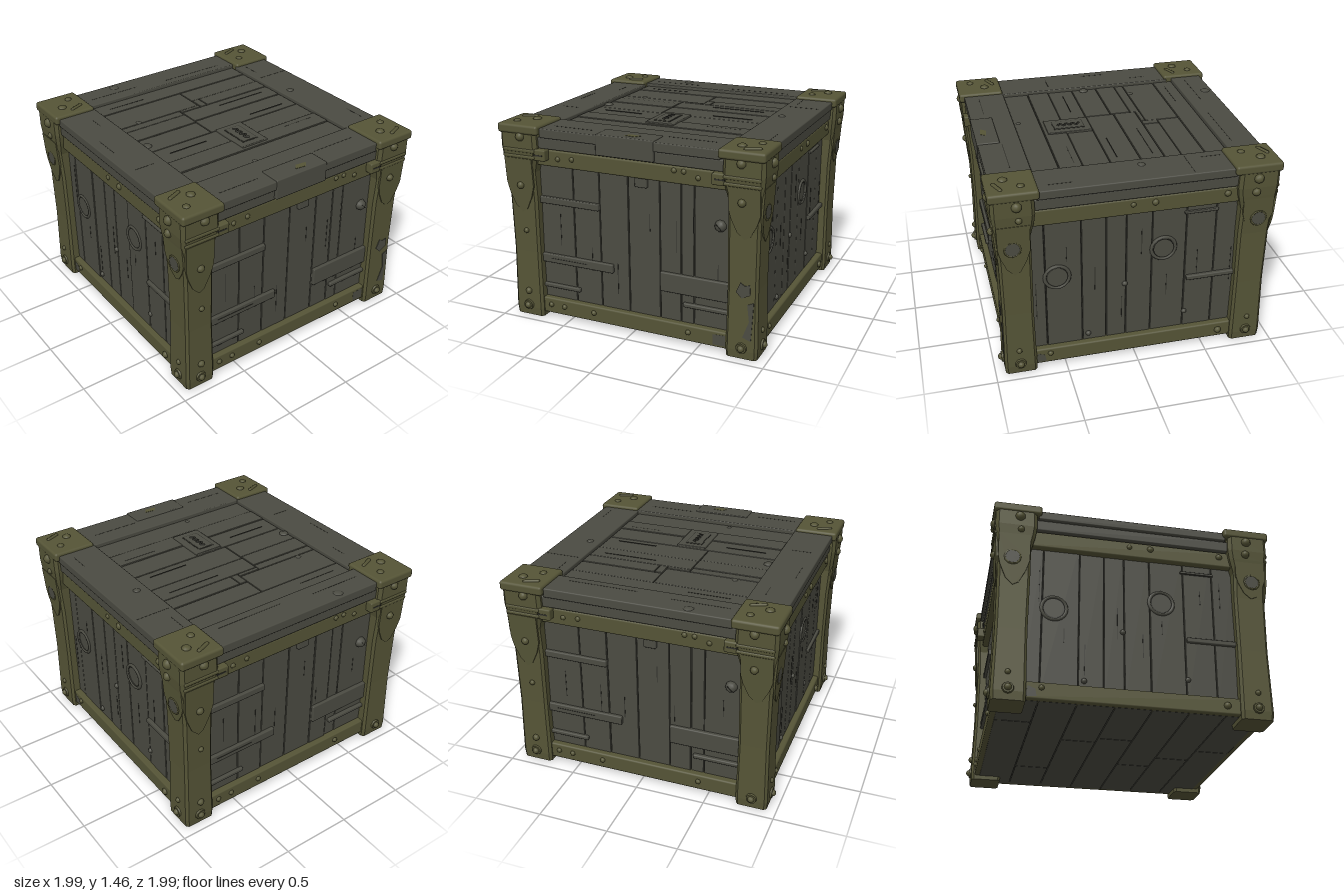
import * as THREE from 'three';
import { RoundedBoxGeometry } from 'three/addons/geometries/RoundedBoxGeometry.js';

const mat = (name, color) => Object.assign(new THREE.MeshStandardMaterial({ color }), { name });

export function createModel() {
  const wood = mat('weathered wood', 0x4b4b42);
  const metal = mat('olive metal', 0x555436);
  const gap = mat('dark gap', 0x30302a);
  let seed = 7;
  const rnd = () => (seed = (seed * 16807) % 2147483647) / 2147483647;

  const add = (parent, name, geo, material, x = 0, y = 0, z = 0) => {
    const m = new THREE.Mesh(geo, material);
    m.name = name;
    m.position.set(x, y, z);
    parent.add(m);
    return m;
  };
  // box given by its limits, with softly rounded edges
  const block = (parent, name, material, x0, x1, y0, y1, z0, z1, r = 0.008) =>
    add(parent, name, r ? new RoundedBoxGeometry(x1 - x0, y1 - y0, z1 - z0, 1, r)
      : new THREE.BoxGeometry(x1 - x0, y1 - y0, z1 - z0), material,
    (x0 + x1) / 2, (y0 + y1) / 2, (z0 + z1) / 2);
  // domed bolt facing +z
  const bolt = (parent, x, y, z, r = 0.02, material = metal) => {
    const g = new THREE.SphereGeometry(r, 9, 4, 0, Math.PI * 2, 0, Math.PI / 2);
    g.rotateX(Math.PI / 2);
    return add(parent, 'bolt', g, material, x, y, z);
  };
  const bigBolt = (parent, x, y, z) => {
    const g = new THREE.CylinderGeometry(0.036, 0.042, 0.02, 10).rotateX(Math.PI / 2);
    add(parent, 'boltWasher', g, metal, x, y, z);
    bolt(parent, x, y, z + 0.008, 0.025);
  };
  // thin dark grain crack on a face at depth z
  const crack = (parent, x, y, z, len, vertical) =>
    add(parent, 'grainCrack', new THREE.BoxGeometry(vertical ? 0.005 : len, vertical ? len : 0.005, 0.004), gap, x, y, z);
  // thin irregular patch of bared or leftover paint, facing +z
  const patch = (parent, material, z, points) =>
    add(parent, 'wornPatch', new THREE.ExtrudeGeometry(new THREE.Shape(points.map(p => new THREE.Vector2(...p))),
      { depth: 0.005, bevelEnabled: false }), material, 0, 0, z);

  const crate = new THREE.Group();
  crate.name = 'crate';

  // dark cores seen only between the planks
  block(crate, 'bodyCore', gap, -0.845, 0.845, 0.045, 1.28, -0.845, 0.845, 0);
  block(crate, 'lidCore', gap, -0.9, 0.9, 1.275, 1.385, -0.9, 0.9, 0);

  // floor planks
  for (let i = 0; i < 7; i++) {
    const z = -0.87 + i * 0.2486, split = -0.5 + rnd();
    block(crate, 'floorPlank', wood, -0.87, split - 0.002, 0.03, 0.06, z, z + 0.245, 0.004);
    block(crate, 'floorPlank', wood, split + 0.002, 0.87, 0.03, 0.06, z, z + 0.245, 0.004);
  }

  // corner posts: chamfered square lofted through [height, inner, outer]
  const profile = [[0, 0.71, 0.93], [0.06, 0.708, 0.935], [0.5, 0.715, 0.928], [0.9, 0.712, 0.933],
    [1.1, 0.715, 0.945], [1.2, 0.69, 0.958], [1.27, 0.68, 0.965], [1.4, 0.685, 0.965]];
  const section = new THREE.Shape([[-0.5, -0.42], [-0.42, -0.5], [0.42, -0.5], [0.5, -0.42],
    [0.5, 0.42], [0.42, 0.5], [-0.42, 0.5], [-0.5, 0.42]].map(p => new THREE.Vector2(...p)));
  const makePost = (sx, sz) => {
    const n = profile.length - 1;
    const g = new THREE.ExtrudeGeometry(section, { depth: n, steps: n, bevelEnabled: false }).rotateX(-Math.PI / 2);
    const p = g.attributes.position;
    for (let i = 0; i < p.count; i++) {
      const [y, a, b] = profile[Math.round(p.getY(i))];
      p.setXYZ(i, sx * (a + b) / 2 + p.getX(i) * (b - a), y, sz * (a + b) / 2 + p.getZ(i) * (b - a));
    }
    g.computeVertexNormals();
    add(crate, 'cornerPost', g, metal);
    // lid corner cap with its rivets and dent
    const cap = new THREE.Group();
    cap.name = 'lidCornerCap';
    add(cap, 'cap', new RoundedBoxGeometry(0.315, 0.066, 0.33, 2, 0.018), metal, 0, 1.408, 0);
    for (const [x, z, r] of [[-0.04, 0.04, 0.032], [0.06, -0.06, 0.026]]) {
      const b = bolt(cap, x, 1.44, z, r);
      b.rotation.x = -Math.PI / 2;
      b.scale.z = 0.6;
    }
    const bar = add(cap, 'capRidge', new THREE.CapsuleGeometry(0.014, 0.09, 3, 8), metal, 0.05, 1.439, 0.09);
    bar.rotation.set(0, 0.4, Math.PI / 2);
    cap.position.set(sx * 0.813, 0, sz * 0.815);
    cap.rotation.y = sx * sz > 0 ? 0 : Math.PI;
    crate.add(cap);
  };
  for (const sx of [-1, 1]) for (const sz of [-1, 1]) makePost(sx, sz);

  // pointed reinforcement on the upper post
  const pointPlate = (side, x, bottom) => {
    const h = 1.2 - bottom;
    const s = new THREE.Shape([[0.108, h], [0.108, 0.5 * h], [0.085, 0.3 * h], [0.04, 0.06 * h], [0, 0],
      [-0.05, 0.13 * h], [-0.09, 0.38 * h], [-0.105, 0.55 * h], [-0.108, h]].map(p => new THREE.Vector2(...p)));
    const m = add(side, 'pointedPlate', new THREE.ExtrudeGeometry(s, { depth: 0.014, bevelEnabled: false }),
      metal, x, bottom, 0.924);
    m.rotation.x = 0.062;
  };

  // a wall facing +z: recessed planks, rails, bolts
  const makeWall = (name, seams, rivets) => {
    const wall = new THREE.Group();
    wall.name = name;
    for (let i = 0; i < seams.length - 1; i++) {
      const z = 0.86 + rnd() * 0.007;
      block(wall, 'wallPlank', wood, seams[i] + 0.0025, seams[i + 1] - 0.0025, 0.1, 1.2, 0.82, z, 0.004);
      crack(wall, (seams[i] + seams[i + 1]) / 2 + (rnd() - 0.5) * 0.1, 0.35 + rnd() * 0.6, z, 0.1 + rnd() * 0.2, true);
    }
    block(wall, 'lowerRail', metal, -0.72, 0.72, 0.032, 0.15, 0.82, 0.908, 0.012);
    block(wall, 'upperRail', metal, -0.72, 0.72, 1.15, 1.268, 0.82, 0.912, 0.012);
    for (const [x, y, r] of rivets) bolt(wall, x, y, Math.abs(x) > 0.7 ? (y > 1.15 ? 0.96 : 0.932) : 0.906, r);
    for (const s of [-1, 1]) bigBolt(wall, s * 0.825, 0.08, 0.937);
    return wall;
  };

  const makeFront = (name) => {
    const f = makeWall(name, [-0.73, -0.455, -0.25, -0.03, 0.205, 0.36, 0.455, 0.73],
      [[-0.65, 0.1], [-0.54, 0.1], [-0.3, 0.1], [0.43, 0.1], [-0.54, 1.21], [-0.43, 1.22], [0.33, 1.24],
        [0.4, 1.24], [0.5, 1.21], [-0.82, 0.19, 0.026], [-0.81, 0.66], [-0.8, 1.355, 0.034], [0.81, 1.355, 0.032]]);
    // cross battens: x0, x1, y0, y1
    for (const [a, b, c, d] of [[-0.72, -0.25, 0.865, 0.915], [-0.72, -0.15, 0.42, 0.485], [-0.72, -0.42, 0.225, 0.255],
      [0.21, 0.72, 0.36, 0.5], [0.38, 0.72, 0.27, 0.3], [0.03, 0.12, 1.08, 1.15]])
      block(f, 'crossBatten', wood, a, b, c, d, 0.84, 0.888);
    crack(f, -0.5, 0.455, 0.888, 0.3, false);
    bolt(f, 0.64, 0.89, 0.86, 0.042, wood);
    const slot = crack(f, 0.64, 0.89, 0.901, 0.05, false);
    slot.rotation.z = -0.8;
    pointPlate(f, -0.83, 0.8);
    pointPlate(f, 0.83, 0.85);
    bolt(f, -0.825, 1.0, 0.947, 0.028);
    bolt(f, 0.815, 1.1, 0.953, 0.028);
    // corner clasps
    for (const s of [-1, 1]) {
      const strap = (x0, x1, y0, y1, z1) =>
        block(f, 'claspStrap', metal, Math.min(s * x0, s * x1), Math.max(s * x0, s * x1), y0, y1, 0.9, z1, 0.01);
      strap(0.69, 0.945, 1.245, 1.272, 0.972);
      strap(0.69, 0.945, 1.2, 1.225, 0.968);
      strap(0.61, 0.7, 1.195, 1.275, 0.965);
      block(f, 'claspSlot', gap, s * 0.665 - 0.035, s * 0.665 + 0.035, 1.23, 1.24, 0.95, 0.967, 0);
    }
    return f;
  };

  const makeSide = (name) => {
    const s = makeWall(name, [-0.74, -0.62, -0.37, -0.2, -0.06, 0.12, 0.36, 0.57, 0.74],
      [[-0.61, 0.11], [0.62, 0.09, 0.026], [-0.03, 1.225], [0.12, 1.225, 0.025], [0.62, 1.225, 0.025],
        [-0.83, 0.19], [0.83, 0.19], [-0.8, 1.34, 0.036], [0.81, 1.34, 0.036], [-0.79, 1.24, 0.024], [0.8, 1.24, 0.03]]);
    // knot rings
    for (const [x, y] of [[-0.54, 0.71], [0.2, 0.83]]) {
      add(s, 'knotRing', new THREE.TorusGeometry(0.085, 0.013, 6, 20), wood, x, y, 0.864);
      add(s, 'knotGroove', new THREE.RingGeometry(0.068, 0.073, 20), gap, x, y, 0.869);
    }
    block(s, 'crossBatten', wood, 0.37, 0.73, 0.545, 0.58, 0.84, 0.888);
    block(s, 'chippedBatten', wood, 0.34, 0.58, 1.08, 1.1, 0.84, 0.88, 0.006);
    for (const [x, y] of [[-0.07, 0.58], [0.37, 0.27], [-0.33, 0.2]]) bolt(s, x, y, 0.862, 0.02, wood);
    patch(s, wood, 0.904, [[-0.71, 0.045], [-0.64, 0.05], [-0.65, 0.1], [-0.7, 0.12]]);
    // post plates with wooden-plugged holes
    for (const e of [-1, 1]) {
      pointPlate(s, e * 0.83, e < 0 ? 0.82 : 0.9);
      add(s, 'postHoleRim', new THREE.TorusGeometry(0.053, 0.007, 5, 12), metal, e * 0.838, 1.025, 0.949);
      add(s, 'postHole', new THREE.CylinderGeometry(0.052, 0.052, 0.009, 10).rotateX(Math.PI / 2), wood, e * 0.838, 1.025, 0.949);
    }
    return s;
  };
  const front = makeFront('frontWall');
  // worn paint on the front left post and rail
  patch(front, wood, 0.931, [[0.78, 0.48], [0.82, 0.44], [0.88, 0.47], [0.875, 0.54], [0.84, 0.53], [0.81, 0.55]]);
  patch(front, wood, 0.931, [[0.83, 0.16], [0.89, 0.14], [0.905, 0.42], [0.86, 0.4], [0.875, 0.28]]);
  patch(front, wood, 0.904, [[0.61, 0.05], [0.7, 0.05], [0.7, 0.13], [0.61, 0.125]]);
  [front, makeSide('leftWall'), makeFront('backWall'), makeSide('rightWall')].forEach((w, q) => {
    w.rotation.y = q * Math.PI / 2;
    crate.add(w);
  });

  // lid frame: two layers of boards on each edge
  const lid = new THREE.Group();
  lid.name = 'lid';
  for (const s of [-1, 1]) {
    const span = (a, b) => [Math.min(s * a, s * b), Math.max(s * a, s * b)];
    block(lid, 'lidLowerBoard', wood, -0.7, 0.7, 1.275, 1.353, ...span(0.7, 0.925));
    block(lid, 'lidEdgeBoard', wood, -0.66, 0.66, 1.356, 1.422, ...span(s > 0 ? 0.648 : 0.708, 0.945));
    block(lid, 'lidLowerBoard', wood, ...span(0.7, 0.925), 1.275, 1.353, -0.7, 0.7);
    block(lid, 'lidSideBoard', wood, ...span(0.648, 0.94), 1.356, 1.418, -0.67, 0.67);
  }
  block(lid, 'frontRepairBoard', wood, -0.225, 0.2, 1.285, 1.43, 0.79, 0.95);

  // lid planks: x0, x1, z0, z1
  for (const [a, b, c, d] of [[-0.645, 0.645, -0.705, -0.55], [-0.645, 0.03, -0.55, -0.3], [0.03, 0.645, -0.55, -0.385],
    [-0.645, -0.14, -0.3, -0.23], [-0.645, -0.14, -0.23, -0.08], [-0.645, -0.14, -0.08, 0.11],
    [-0.14, 0.03, -0.3, -0.265], [0.03, 0.09, -0.385, -0.265], [0.09, 0.645, -0.385, -0.265],
    [-0.14, 0.645, -0.265, -0.1], [-0.14, 0.645, -0.1, 0.11],
    [-0.645, 0.645, 0.11, 0.3], [-0.645, 0.645, 0.3, 0.46], [-0.645, 0.645, 0.46, 0.645]])
    block(lid, 'lidPlank', wood, a + 0.0025, b - 0.0025, 1.35, 1.396 + rnd() * 0.006, c + 0.0025, d - 0.0025, 0.004);

  // lid face fittings, laid out flat and turned upward (local y = -z)
  const face = new THREE.Group();
  face.name = 'lidFittings';
  face.rotation.x = -Math.PI / 2;
  block(face, 'lidPlate', wood, -0.108, 0.108, -0.435, -0.115, 1.38, 1.412, 0.006);
  block(face, 'lidPlateRecess', gap, -0.07, 0.06, -0.385, -0.16, 1.408, 1.414, 0);
  block(face, 'lidPlateInset', wood, -0.063, 0.053, -0.378, -0.167, 1.41, 1.416, 0);
  const zigzag = Array.from({ length: 8 }, (_, i) =>
    new THREE.Vector3(i % 2 ? 0.012 : -0.016, -0.19 - i * 0.023, 1.417));
  add(face, 'pullCord', new THREE.TubeGeometry(new THREE.CatmullRomCurve3(zigzag), 32, 0.008, 5), gap);
  patch(face, metal, 1.427, [[-0.03, -0.9], [0.05, -0.91], [0.08, -0.87], [0, -0.86]]);
  for (const [x, y, z, r] of [[-0.35, 0.89, 1.412, 0.042], [-0.48, 0.32, 1.395, 0.022], [-0.62, -0.02, 1.395, 0.035],
    [0.73, 0.07, 1.415, 0.028], [-0.14, -0.61, 1.395, 0.018]]) bolt(face, x, y, z, r, wood).scale.z = 0.5;
  for (const [x, y, len, v] of [[-0.75, 0.45, 0.12, 1], [-0.8, -0.28, 0.14, 0], [0.8, 0.38, 0.25, 0], [0.72, 0.55, 0.14, 1],
    [0.86, -0.5, 0.16, 1], [-0.87, 0.1, 0.2, 1]]) crack(face, x, y, 1.417, len, v);
  for (const [x, y, len] of [[-0.4, 0.8, 0.4], [0.3, 0.77, 0.5], [-0.45, -0.84, 0.3], [0.4, -0.78, 0.35]])
    crack(face, x, y, 1.421, len, false);
  for (const [x, y, len] of [[-0.4, 0.62, 0.3], [0.35, 0.2, 0.4], [0.4, -0.05, 0.3], [0.45, -0.35, 0.25], [-0.4, -0.2, 0.3]])
    crack(face, x, y, 1.4, len, false);
  lid.add(face);
  crate.add(lid);
  return crate;
}
